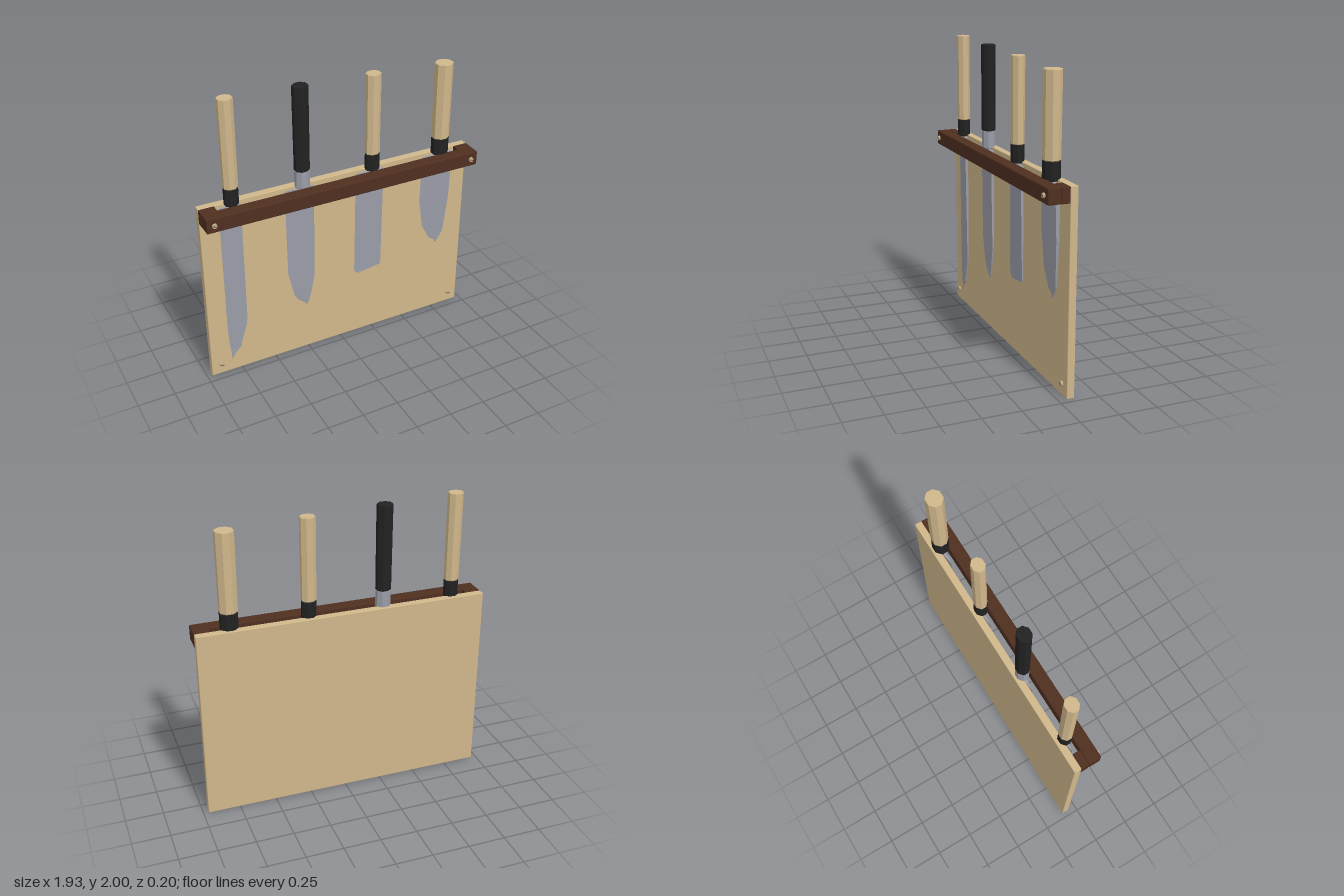
import * as THREE from 'three';
import { RoundedBoxGeometry } from 'three/addons/geometries/RoundedBoxGeometry.js';

const material = (name, color) => {
  const m = new THREE.MeshStandardMaterial({ color });
  m.name = name;
  return m;
};

// Eight-sided prism with softened rims, flats facing front and sides
function octagon(y0, y1, halfX, halfZ, bevel, flare = 1) {
  const R = 1 / Math.cos(Math.PI / 8);
  const profile = [
    [0, y0], [R * 0.95, y0], [R, y0 + bevel],
    [R * flare, y1 - bevel], [R * flare * 0.95, y1], [0, y1],
  ].map(([r, y]) => new THREE.Vector2(r, y));
  const g = new THREE.LatheGeometry(profile, 8, Math.PI / 8).toNonIndexed();
  g.scale(halfX, 1, halfZ);
  g.computeVertexNormals();
  return g;
}

// Wedge blade from rows [y, edge x, spine x], listed from heel to tip
function bladeGeometry(rows, zHeel, halfThick) {
  const yTop = rows[0][0], yTip = rows[rows.length - 1][0];
  const rings = rows.map(([y, xe, xs]) => {
    const k = (yTop - y) / (yTop - yTip);
    const z = THREE.MathUtils.lerp(zHeel, -0.047, k);
    const t = THREE.MathUtils.lerp(halfThick, 0.003, k);
    const shoulder = xe + (xs - xe) * 0.4;
    return [
      [xe, y, z], [shoulder, y, z + t * 0.75], [xs, y, z + t],
      [xs, y, z - t], [shoulder, y, z - t * 0.75],
    ];
  });
  const pos = [];
  const tri = (...p) => p.forEach((v) => pos.push(...v));
  for (let r = 0; r < rings.length - 1; r++) {
    for (let i = 0; i < 5; i++) {
      const j = (i + 1) % 5;
      const a = rings[r][i], b = rings[r][j], c = rings[r + 1][i], d = rings[r + 1][j];
      tri(a, c, d);
      tri(a, d, b);
    }
  }
  const top = rings[0], tip = rings[rings.length - 1];
  for (let i = 1; i < 4; i++) {
    tri(top[0], top[i], top[i + 1]);
    tri(tip[0], tip[i + 1], tip[i]);
  }
  const g = new THREE.BufferGeometry();
  g.setAttribute('position', new THREE.Float32BufferAttribute(pos, 3));
  g.computeVertexNormals();
  return g;
}

export function createModel() {
  const wood = material('light wood', 0xd0b78b);
  const walnut = material('dark wood', 0x4f2f20);
  const black = material('black horn', 0x222222);
  const steel = material('steel', 0x9b9da8);
  const brass = material('screw metal', 0xbfa985);
  const slotDark = material('screw slot', 0x3a3128);

  const model = new THREE.Group();
  model.name = 'knifeRack';
  const add = (parent, name, geometry, mat, x = 0, y = 0, z = 0) => {
    const mesh = new THREE.Mesh(geometry, mat);
    mesh.name = name;
    mesh.position.set(x, y, z);
    parent.add(mesh);
    return mesh;
  };

  // Back board, front rail and the end blocks that space them apart
  add(model, 'backBoard', new RoundedBoxGeometry(1.932, 1.3, 0.049, 2, 0.005), wood, 0, 0.65, -0.0775);
  add(model, 'frontRail', new RoundedBoxGeometry(1.932, 0.1, 0.086, 2, 0.008), walnut, 0, 1.25, 0.045);
  for (const s of [-1, 1]) {
    add(model, 'spacerBlock', new RoundedBoxGeometry(0.104, 0.1, 0.055, 2, 0.005), walnut, s * 0.914, 1.25, -0.0255);
  }

  // Slotted screws
  const screw = (x, y, z) => {
    const g = new THREE.Group();
    g.name = 'screw';
    g.position.set(x, y, z);
    const head = add(g, 'screwHead', new THREE.CylinderGeometry(0.0145, 0.017, 0.014, 20), brass, 0, 0, 0.007);
    head.rotation.x = Math.PI / 2;
    const slot = add(g, 'screwSlot', new THREE.BoxGeometry(0.026, 0.004, 0.001), slotDark, 0, 0, 0.0141);
    slot.rotation.z = -0.4;
    model.add(g);
  };
  for (const s of [-1, 1]) {
    screw(s * 0.916, 1.25, 0.0875);
    screw(s * 0.897, 0.075, -0.0535);
  }

  // Knives, each with handle sizes and blade rows [y, edge x, spine x]
  const knives = [
    {
      name: 'slicingKnife', x: -0.753, z: -0.041, top: 2.0, hx: 0.047, hz: 0.041, t: 0.011, grip: wood, collar: black,
      rows: [[1.28, -0.84, -0.697], [0.42, -0.838, -0.697], [0.36, -0.837, -0.702], [0.23, -0.833, -0.743],
        [0.18, -0.826, -0.754], [0.14, -0.822, -0.796], [0.1, -0.818, -0.816]],
    },
    {
      name: 'chefKnife', x: -0.273, z: -0.043, top: 1.98, hx: 0.049, hz: 0.043, t: 0.011, grip: black, collar: steel,
      rows: [[1.28, -0.396, -0.198], [0.65, -0.39, -0.198], [0.59, -0.377, -0.2], [0.458, -0.347, -0.225],
        [0.42, -0.32, -0.236], [0.395, -0.293, -0.241], [0.365, -0.259, -0.255]],
    },
    {
      name: 'vegetableKnife', x: 0.228, z: -0.041, top: 1.96, hx: 0.048, hz: 0.041, t: 0.011, grip: wood, collar: black,
      rows: [[1.28, 0.108, 0.309], [0.53, 0.105, 0.308], [0.52, 0.106, 0.304], [0.495, 0.133, 0.14]],
    },
    {
      name: 'filletKnife', x: 0.741, z: -0.036, top: 1.935, hx: 0.058, hz: 0.053, t: 0.016, grip: wood, collar: black,
      rows: [[1.28, 0.606, 0.833], [0.94, 0.606, 0.833], [0.733, 0.637, 0.816], [0.648, 0.684, 0.807],
        [0.617, 0.7, 0.789], [0.595, 0.738, 0.775], [0.563, 0.756, 0.759]],
    },
  ];
  for (const k of knives) {
    const g = new THREE.Group();
    g.name = k.name;
    add(g, 'handle', octagon(1.408, k.top, k.hx * 0.97, k.hz * 0.97, 0.005, 1.03), k.grip, k.x, 0, k.z);
    add(g, 'ferrule', octagon(1.29, 1.41, k.hx * 0.95, k.hz * 0.95, 0.005), k.collar, k.x, 0, k.z);
    add(g, 'tang', new THREE.BoxGeometry(0.05, 0.07, k.t * 1.2), steel, k.x, 1.275, k.z);
    add(g, 'blade', bladeGeometry(k.rows, k.z + 0.001, k.t), steel);
    model.add(g);
  }
  return model;
}
